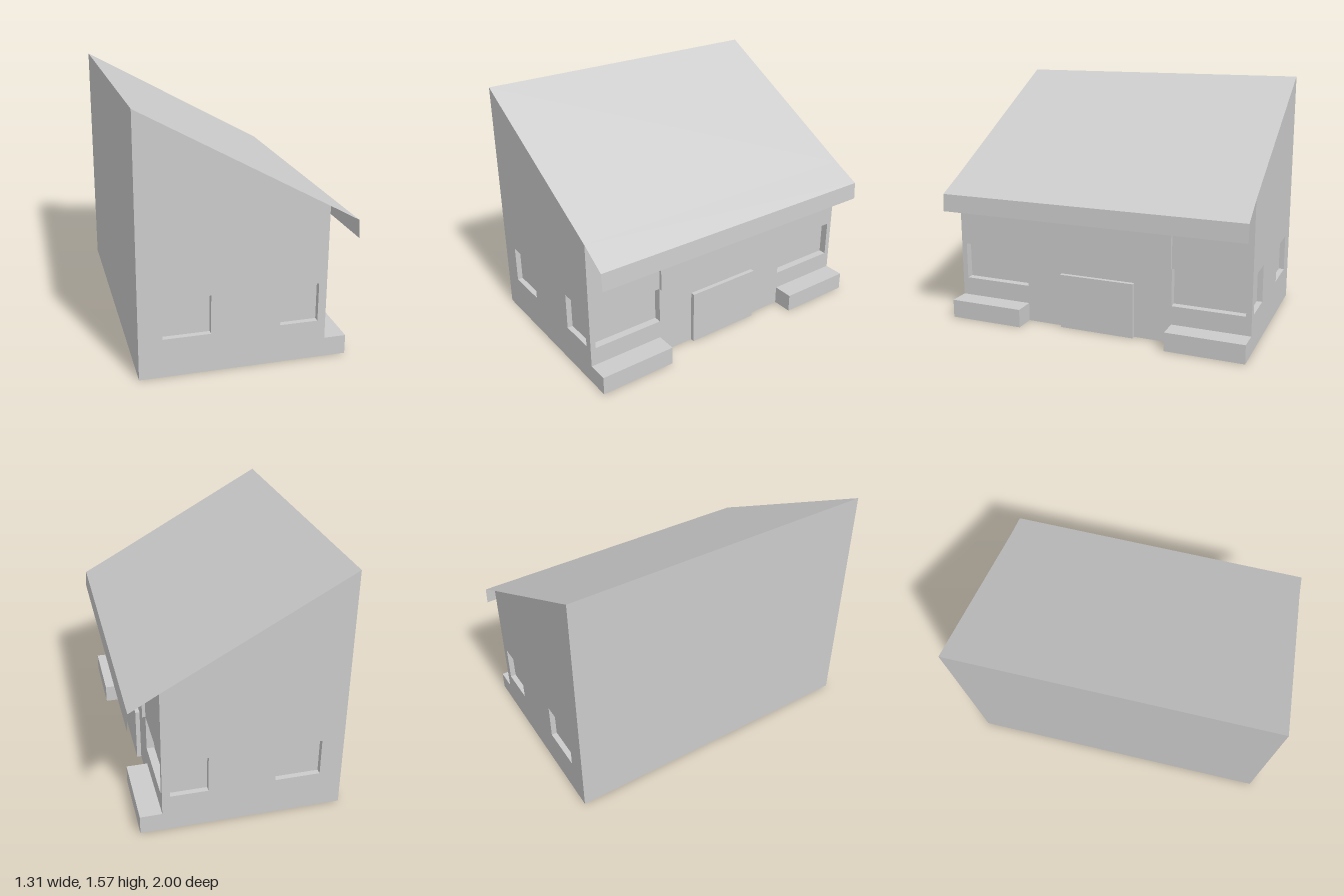
import * as THREE from 'three';

const grey = new THREE.MeshStandardMaterial({ color: 0xcccccc, flatShading: true, side: THREE.DoubleSide });
const X0 = -0.655, X1 = 0.465, Z = 0.995; // wall planes
const EAVE = 0.953, RIDGE = 1.57;

function mesh(name, geometry) {
  const m = new THREE.Mesh(geometry, grey);
  m.name = name;
  return m;
}

function box(name, [x0, x1], [y0, y1], [z0, z1]) {
  const m = mesh(name, new THREE.BoxGeometry(x1 - x0, y1 - y0, z1 - z0));
  m.position.set((x0 + x1) / 2, (y0 + y1) / 2, (z0 + z1) / 2);
  return m;
}

// Flat wall facing local +z, with window niches set back by depth
function wall(name, outline, windows, depth) {
  const group = new THREE.Group();
  group.name = name;
  const shape = new THREE.Shape(outline.map(([x, y]) => new THREE.Vector2(x, y)));
  for (const [a, b, y0, y1] of windows) {
    shape.holes.push(new THREE.Path([[a, y0], [a, y1], [b, y1], [b, y0]].map(p => new THREE.Vector2(...p))));
    const niche = new THREE.BoxGeometry(b - a, y1 - y0, depth);
    const index = Array.from(niche.index.array);
    index.splice(24, 6); // leave the outer face open
    niche.setIndex(index);
    niche.clearGroups();
    const recess = mesh('windowRecess', niche);
    recess.position.set((a + b) / 2, (y0 + y1) / 2, -depth / 2);
    group.add(recess);
  }
  group.add(mesh(name + 'Panel', new THREE.ShapeGeometry(shape)));
  return group;
}

// Sheet spanning between stations [x, y, half width in z]
function sheet(name, stations) {
  const pos = [], index = [];
  for (let i = 0; i < stations.length - 1; i++) {
    const [xa, ya, za] = stations[i], [xb, yb, zb] = stations[i + 1];
    const k = pos.length / 3;
    pos.push(xa, ya, za, xb, yb, zb, xb, yb, -zb, xa, ya, -za);
    index.push(k, k + 1, k + 2, k, k + 2, k + 3);
  }
  const g = new THREE.BufferGeometry();
  g.setAttribute('position', new THREE.Float32BufferAttribute(pos, 3));
  g.setIndex(index);
  g.computeVertexNormals();
  return mesh(name, g);
}

export function createModel() {
  const model = new THREE.Group();
  model.name = 'house';

  // Gable end walls, two small windows each
  const gable = [[X0, 0], [X1, 0], [X1, EAVE], [X0, RIDGE]];
  const gableWindows = [[-0.515, -0.232, 0.24, 0.48], [0.184, 0.416, 0.24, 0.48]];
  const frontGable = wall('frontGableWall', gable, gableWindows, 0.035);
  frontGable.position.z = Z;
  const backGable = wall('backGableWall', gable.map(([x, y]) => [-x, y]),
    gableWindows.map(([a, b, y0, y1]) => [-b, -a, y0, y1]), 0.035);
  backGable.rotation.y = Math.PI;
  backGable.position.z = -Z;

  // Entrance wall with a wide window on each side
  const entrance = wall('entranceWall', [[-Z, 0], [Z, 0], [Z, EAVE], [-Z, EAVE]],
    [[-0.96, -0.495, 0.24, 0.48], [0.495, 0.96, 0.24, 0.48]], 0.05);
  entrance.rotation.y = Math.PI / 2;
  entrance.position.x = X1;

  // Plain tall wall and floor
  const tall = wall('tallWall', [[-Z, 0], [Z, 0], [Z, RIDGE], [-Z, RIDGE]], [], 0);
  tall.rotation.y = -Math.PI / 2;
  tall.position.x = X0;
  const floor = mesh('floor', new THREE.PlaneGeometry(X1 - X0, 2 * Z));
  floor.rotation.x = Math.PI / 2;
  floor.position.x = (X0 + X1) / 2;

  model.add(frontGable, backGable, entrance, tall, floor);

  // Sloping roof, overhang and hanging fascia
  model.add(sheet('roof', [[X0, RIDGE, Z], [X1, EAVE, Z], [0.643, 0.855, 1]]));
  model.add(sheet('fascia', [[0.643, 0.855, 1], [0.65, 0.742, 1]]));

  // Door, panel above it, and a low block on each side
  model.add(box('door', [X1, 0.493], [0, 0.357], [-0.25, 0.25]));
  model.add(box('panelAboveDoor', [X1, 0.486], [0.48, 0.715], [-0.495, 0.495]));
  for (const [z0, z1] of [[0.495, Z], [-Z, -0.495]]) {
    model.add(box('lowBlock', [X1, 0.6], [0, 0.12], [z0, z1]));
  }
  return model;
}
